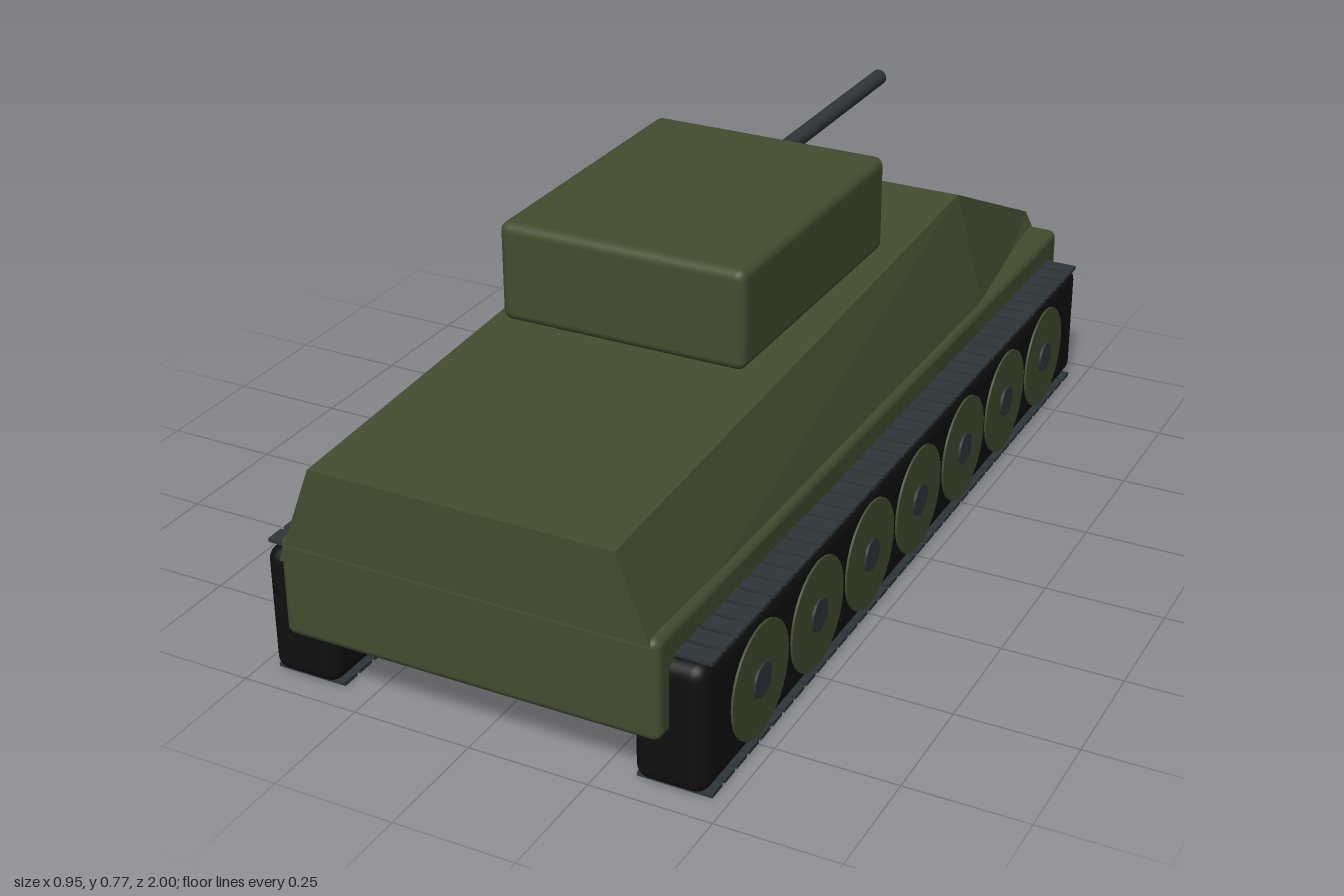
import * as THREE from 'three';
import { RoundedBoxGeometry } from 'three/addons/geometries/RoundedBoxGeometry.js';

const material = (name, color) => {
  const m = new THREE.MeshStandardMaterial({ color });
  m.name = name;
  return m;
};

// Skin a closed hull from four-cornered cross-sections running from +z to -z
function hullGeometry(sections) {
  const rings = sections.map(({ z, base, top, y0, y1 }) => [
    [-base, y0, z], [base, y0, z], [top, y1, z], [-top, y1, z],
  ]);
  const points = [];
  const quad = (a, b, c, d) => points.push(...a, ...b, ...c, ...a, ...c, ...d);
  for (let i = 0; i < rings.length - 1; i++) {
    const p = rings[i], q = rings[i + 1];
    for (let k = 0; k < 4; k++) {
      const n = (k + 1) % 4;
      quad(p[k], q[k], q[n], p[n]);
    }
  }
  quad(...rings[0]);
  quad(...rings[rings.length - 1].slice().reverse());
  const g = new THREE.BufferGeometry();
  g.setAttribute('position', new THREE.Float32BufferAttribute(points, 3));
  g.computeVertexNormals();
  return g;
}

export function createModel() {
  const olive = material('olive armour', 0x434d30);
  const slate = material('slate metal', 0x2f3639);
  const black = material('black rubber', 0x101011);
  const model = new THREE.Group();
  model.name = 'armouredVehicle';

  const add = (parent, name, geometry, mat, x, y, z) => {
    const mesh = new THREE.Mesh(geometry, mat);
    mesh.name = name;
    mesh.position.set(x, y, z);
    parent.add(mesh);
    return mesh;
  };

  // Hull: rounded tub with a sloped superstructure
  add(model, 'lowerHull', new RoundedBoxGeometry(0.79, 0.21, 2, 3, 0.018), olive, 0, 0.235, 0);
  add(model, 'upperHull', hullGeometry([
    { z: 0.999, base: 0.395, top: 0.315, y0: 0.29, y1: 0.5 },
    { z: -0.545, base: 0.395, top: 0.315, y0: 0.29, y1: 0.58 },
    { z: -0.999, base: 0.355, top: 0.315, y0: 0.29, y1: 0.37 },
  ]), olive, 0, 0, 0);

  // Turret, gun and the pair of discs beneath its face
  add(model, 'turret', new RoundedBoxGeometry(0.53, 0.208, 0.66, 3, 0.02), olive, 0, 0.663, 0.08);
  const barrel = new THREE.CylinderGeometry(0.018, 0.018, 0.63, 20).rotateX(Math.PI / 2);
  add(model, 'gunBarrel', barrel, slate, 0, 0.709, -0.515);
  const disc = new THREE.CylinderGeometry(0.08, 0.08, 0.016, 28);
  for (const side of [-1, 1]) add(model, 'hatchDisc', disc, slate, side * 0.16, 0.6, -0.22);

  // Running gear, repeated on each side
  const belt = new RoundedBoxGeometry(0.147, 0.272, 1.92, 3, 0.03);
  const pad = new THREE.BoxGeometry(0.152, 0.008, 0.04);
  const wheel = new THREE.CylinderGeometry(0.116, 0.116, 0.02, 32).rotateZ(Math.PI / 2);
  const hub = new THREE.CylinderGeometry(0.034, 0.034, 0.02, 20).rotateZ(Math.PI / 2);
  for (const side of [-1, 1]) {
    const track = new THREE.Group();
    track.name = side > 0 ? 'leftTrack' : 'rightTrack';
    model.add(track);
    add(track, 'trackBelt', belt, black, side * 0.39, 0.143, 0);
    for (let i = 0; i < 38; i++) {
      const z = (i - 18.5) * 0.0495;
      add(track, 'topTrackPad', pad, slate, side * 0.391, 0.281, z);
      add(track, 'bottomTrackPad', pad, slate, side * 0.391, 0.004, z);
    }
    for (let i = -3; i <= 3; i++) {
      add(track, 'roadWheel', wheel, olive, side * 0.458, 0.135, i * 0.247);
      add(track, 'wheelHub', hub, slate, side * 0.463, 0.135, i * 0.247);
    }
  }
  return model;
}
